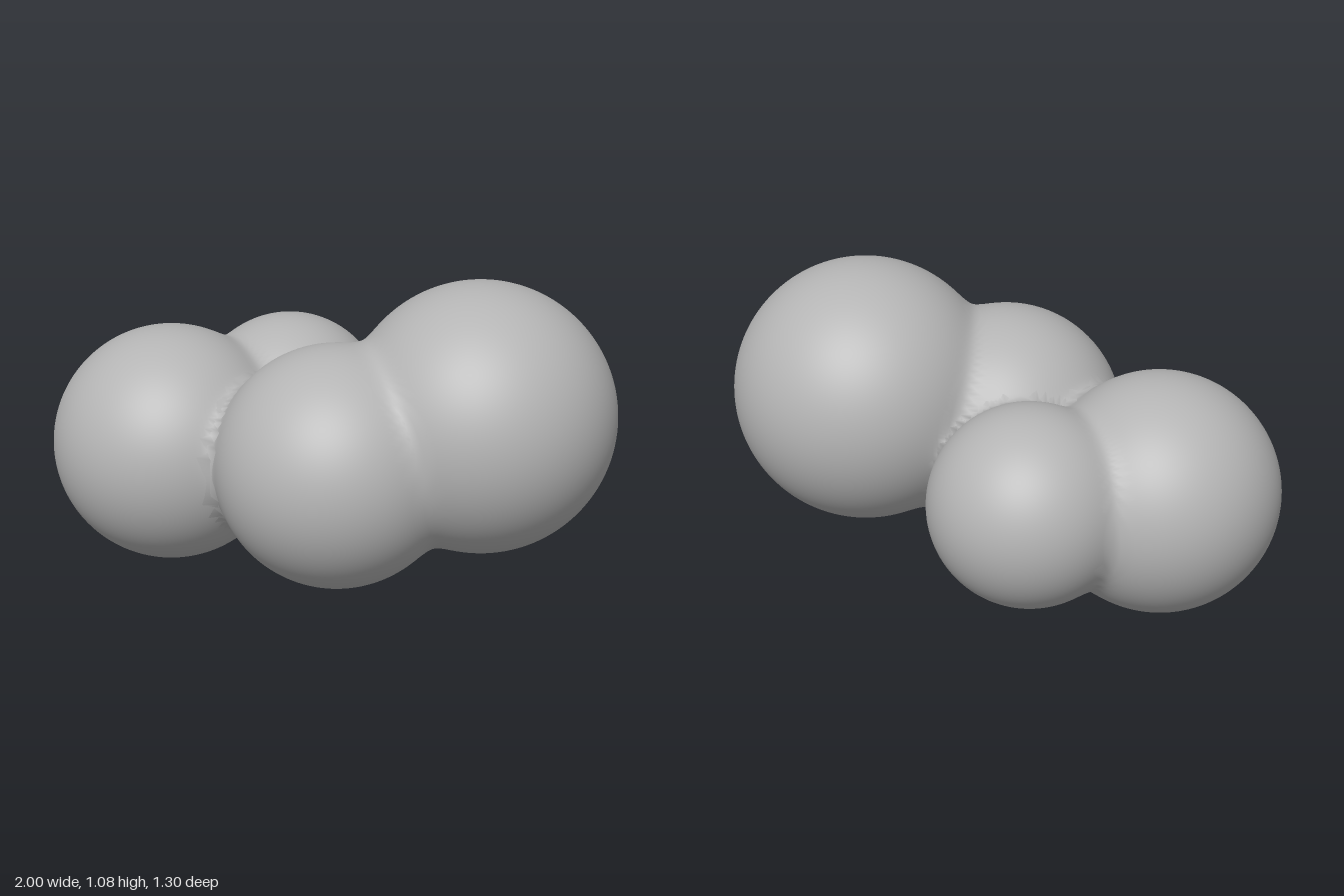
import * as THREE from 'three';

// Four balls fused with a soft fillet: name, centre, radius
const balls = [
  { name: 'rightBall', c: new THREE.Vector3(-0.58, 0.42, 0.015), r: 0.42 },
  { name: 'backBall', c: new THREE.Vector3(-0.22, 0.46, -0.3), r: 0.35 },
  { name: 'frontBall', c: new THREE.Vector3(0.07, 0.47, 0.23), r: 0.42 },
  { name: 'leftBall', c: new THREE.Vector3(0.53, 0.61, 0.025), r: 0.47 },
];
const SOFT = 0.02; // fillet softness
const MAX_PUSH = 0.09; // vertices buried deeper than this stay hidden inside

// Smoothly merged distance to all balls, with its outward direction
function field(p, normal) {
  let sum = 0;
  normal.set(0, 0, 0);
  for (const b of balls) {
    const d = p.clone().sub(b.c);
    const w = Math.exp(-(d.length() - b.r) / SOFT);
    sum += w;
    normal.addScaledVector(d.normalize(), w);
  }
  normal.normalize();
  return -SOFT * Math.log(sum);
}

// A sphere whose skin swells outward to the merged surface near its neighbours
function blendedBall({ c, r }) {
  const geo = new THREE.SphereGeometry(1, 128, 96);
  const pos = geo.attributes.position;
  const nor = geo.attributes.normal;
  const dir = new THREE.Vector3();
  const p = new THREE.Vector3();
  const n = new THREE.Vector3();
  for (let i = 0; i < pos.count; i++) {
    dir.fromBufferAttribute(pos, i).normalize();
    let push = 0;
    for (let step = 0; step < 16; step++) {
      p.copy(c).addScaledVector(dir, r + push);
      push = Math.min(MAX_PUSH, push - field(p, n));
    }
    p.copy(c).addScaledVector(dir, r + push);
    field(p, n);
    pos.setXYZ(i, p.x, p.y, p.z);
    nor.setXYZ(i, n.x, n.y, n.z);
  }
  return geo;
}

export function createModel() {
  const group = new THREE.Group();
  group.name = 'fusedBalls';
  const grey = new THREE.MeshStandardMaterial({ color: 0xb4b4b4 });
  grey.name = 'grey';
  for (const ball of balls) {
    const mesh = new THREE.Mesh(blendedBall(ball), grey);
    mesh.name = ball.name;
    group.add(mesh);
  }
  return group;
}
